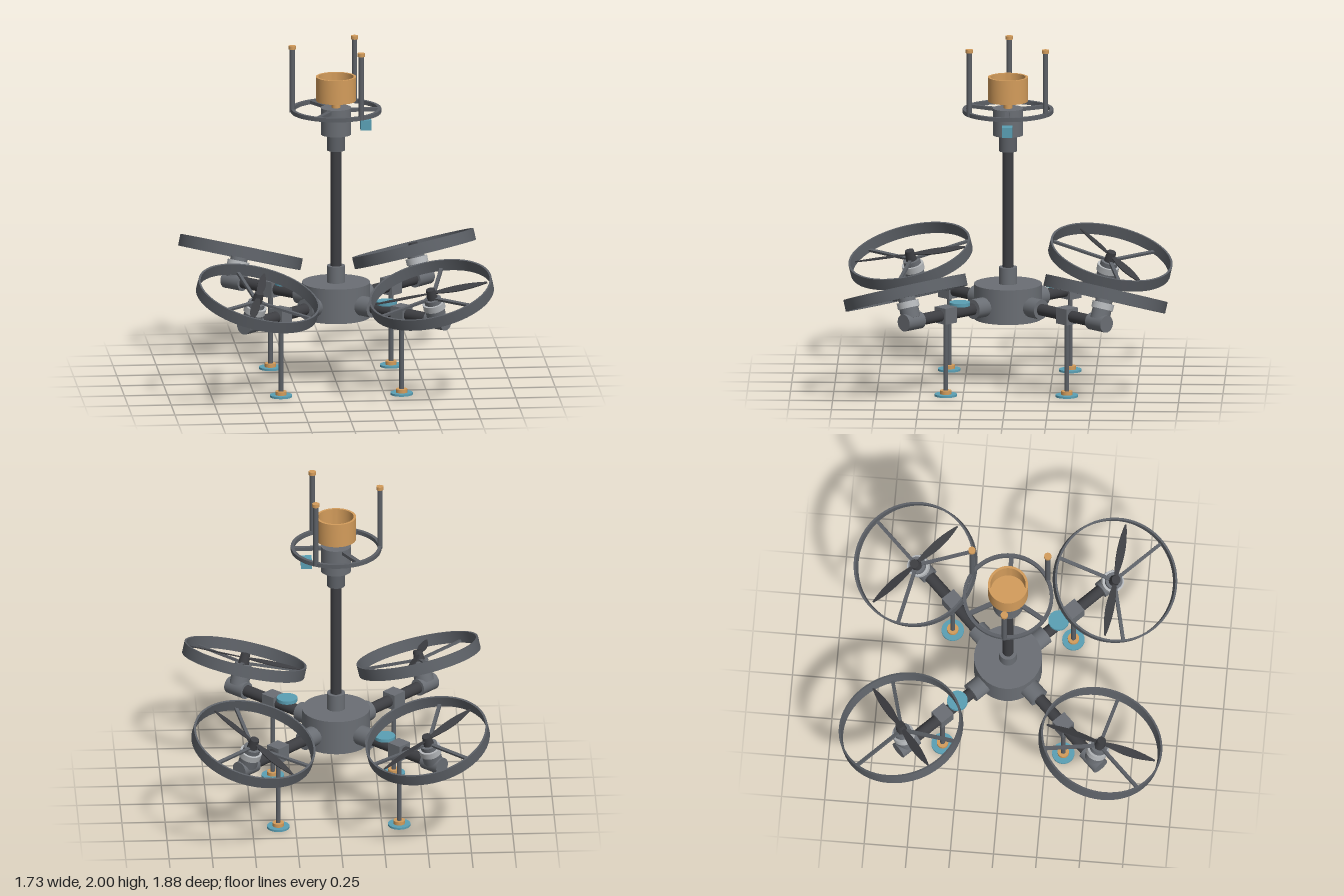
import * as THREE from 'three';
import { toCreasedNormals } from 'three/addons/utils/BufferGeometryUtils.js';

const mat = (name, color) => {
  const m = new THREE.MeshStandardMaterial({ color });
  m.name = name;
  return m;
};

export function createModel() {
  const grey = mat('grey metal', 0x6a6e74);
  const carbon = mat('dark carbon', 0x3d3e42);
  const frame = mat('frame grey', 0x5c6066);
  const silver = mat('silver', 0xb4b7ba);
  const orange = mat('orange', 0xd39c5b);
  const teal = mat('teal', 0x5a9fb4);

  const add = (parent, name, geo, material, x = 0, y = 0, z = 0) => {
    const m = new THREE.Mesh(geo, material);
    m.name = name;
    m.position.set(x, y, z);
    parent.add(m);
    return m;
  };
  // Upright cylinder between two heights
  const post = (parent, name, r, y0, y1, material, x = 0, z = 0, rTop = r) =>
    add(parent, name, new THREE.CylinderGeometry(rTop, r, y1 - y0, 32), material, x, (y0 + y1) / 2, z);
  // Cylinder lying along local z
  const rod = (parent, name, r, z0, z1, material, y) =>
    add(parent, name, new THREE.CylinderGeometry(r, r, z1 - z0, 32).rotateX(Math.PI / 2), material, 0, y, (z0 + z1) / 2);
  // Sharp-edged turned profile
  const turned = (pts) =>
    toCreasedNormals(new THREE.LatheGeometry(pts.map(([x, y]) => new THREE.Vector2(x, y)), 64), 0.6);
  const hoop = (rOut, rIn, h) =>
    turned([[rOut, -h / 2], [rOut, h / 2], [rIn, h / 2], [rIn, -h / 2], [rOut, -h / 2]]);

  const model = new THREE.Group();
  model.name = 'quadcopter';

  // Central body and mast
  post(model, 'body', 0.197, 0.387, 0.592, grey);
  post(model, 'mastCollar', 0.053, 0.59, 0.69, grey);
  post(model, 'mast', 0.033, 0.68, 1.39, carbon);
  post(model, 'headCollar', 0.052, 1.375, 1.475, frame);
  post(model, 'head', 0.088, 1.47, 1.628, grey);

  // Sensor cup on its stem
  post(model, 'cupStem', 0.025, 1.62, 1.68, orange);
  add(model, 'sensorCup', turned([[0, 1.67], [0.116, 1.67], [0.116, 1.812], [0.102, 1.812], [0.102, 1.69], [0, 1.69]]), orange);

  // Antenna ring with spokes and posts
  const antenna = new THREE.Group();
  antenna.name = 'antennaRing';
  model.add(antenna);
  add(antenna, 'ring', hoop(0.262, 0.242, 0.024), frame, 0, 1.613, 0);
  for (let i = 0; i < 3; i++) {
    const a = (i * Math.PI * 2) / 3;
    const spoke = add(antenna, 'ringSpoke', new THREE.BoxGeometry(0.18, 0.02, 0.026), frame,
      0.16 * Math.cos(a), 1.613, -0.16 * Math.sin(a));
    spoke.rotation.y = a;
    const px = 0.254 * Math.cos(a + Math.PI), pz = 0.254 * Math.sin(a + Math.PI);
    post(antenna, 'antennaPost', 0.015, 1.605, 1.985, frame, px, pz);
    post(antenna, 'antennaTip', 0.021, 1.98, 2, orange, px, pz);
  }
  add(model, 'cameraCube', new THREE.BoxGeometry(0.062, 0.06, 0.06), teal, 0.172, 1.525, 0);

  // Propeller blade: pitched thin leaf along +x
  const leaf = new THREE.Shape();
  leaf.moveTo(0.015, -0.008);
  leaf.bezierCurveTo(0.1, -0.02, 0.17, -0.045, 0.33, -0.004);
  leaf.lineTo(0.33, 0.004);
  leaf.bezierCurveTo(0.22, 0.03, 0.12, 0.03, 0.015, 0.008);
  const bladeGeo = new THREE.ExtrudeGeometry(leaf, { depth: 0.006, bevelEnabled: false, curveSegments: 10 });
  bladeGeo.translate(0, 0, -0.003).rotateX(-Math.PI / 2 + 0.25);
  const guardGeo = hoop(0.361, 0.349, 0.068);

  // Four arms, each with leg, foot and tilted ducted rotor
  const tilt = THREE.MathUtils.degToRad(18);
  const armY = 0.48;
  const corners = [
    { sx: 1, sz: 1, blade: -0.08, disc: true },
    { sx: -1, sz: 1, blade: 1.4 },
    { sx: -1, sz: -1, blade: 0.62, disc: true },
    { sx: 1, sz: -1, blade: -0.81 },
  ];
  for (const { sx, sz, blade, disc } of corners) {
    const heading = Math.atan2(sx, sz);
    const arm = new THREE.Group();
    arm.name = 'arm';
    arm.rotation.y = heading;
    model.add(arm);
    rod(arm, 'armSocket', 0.058, 0.12, 0.28, grey, armY);
    rod(arm, 'armTube', 0.034, 0.25, 0.74, carbon, armY);
    add(arm, 'legClamp', new THREE.BoxGeometry(0.09, 0.094, 0.09), grey, 0, armY, 0.495);
    rod(arm, 'tiltKnuckle', 0.05, 0.7, 0.83, grey, armY);
    if (disc) post(arm, 'armDisc', 0.06, 0.518, 0.538, teal, 0, 0.383);

    // Landing leg
    post(arm, 'leg', 0.014, 0.02, 0.45, frame, 0, 0.495);
    post(arm, 'footCollar', 0.033, 0.01, 0.033, orange, 0, 0.495);
    post(arm, 'footPad', 0.065, 0, 0.012, teal, 0, 0.495);

    // Rotor, rolled about the arm axis
    const rotor = new THREE.Group();
    rotor.name = 'rotor';
    rotor.position.set(0, armY, 0.765);
    rotor.rotation.z = tilt * sx * sz;
    arm.add(rotor);
    post(rotor, 'motorBase', 0.056, 0.02, 0.085, grey);
    post(rotor, 'motorBell', 0.064, 0.08, 0.118, silver);
    post(rotor, 'motorCap', 0.05, 0.118, 0.145, grey);
    post(rotor, 'spinner', 0.032, 0.145, 0.205, carbon, 0, 0, 0.026);
    add(rotor, 'guardRing', guardGeo, frame, 0, 0.17, 0);
    for (let i = 0; i < 3; i++) {
      const strut = new THREE.Group();
      strut.name = 'guardStrut';
      strut.rotation.y = (i * Math.PI * 2) / 3;
      rotor.add(strut);
      add(strut, 'strutBar', new THREE.BoxGeometry(0.02, 0.014, 0.325), frame, 0, 0.148, 0.192);
    }
    const propeller = new THREE.Group();
    propeller.name = 'propeller';
    propeller.position.y = 0.18;
    propeller.rotation.y = blade - heading;
    rotor.add(propeller);
    add(propeller, 'blade', bladeGeo, carbon);
    add(propeller, 'blade', bladeGeo, carbon).rotation.y = Math.PI;
  }
  return model;
}
